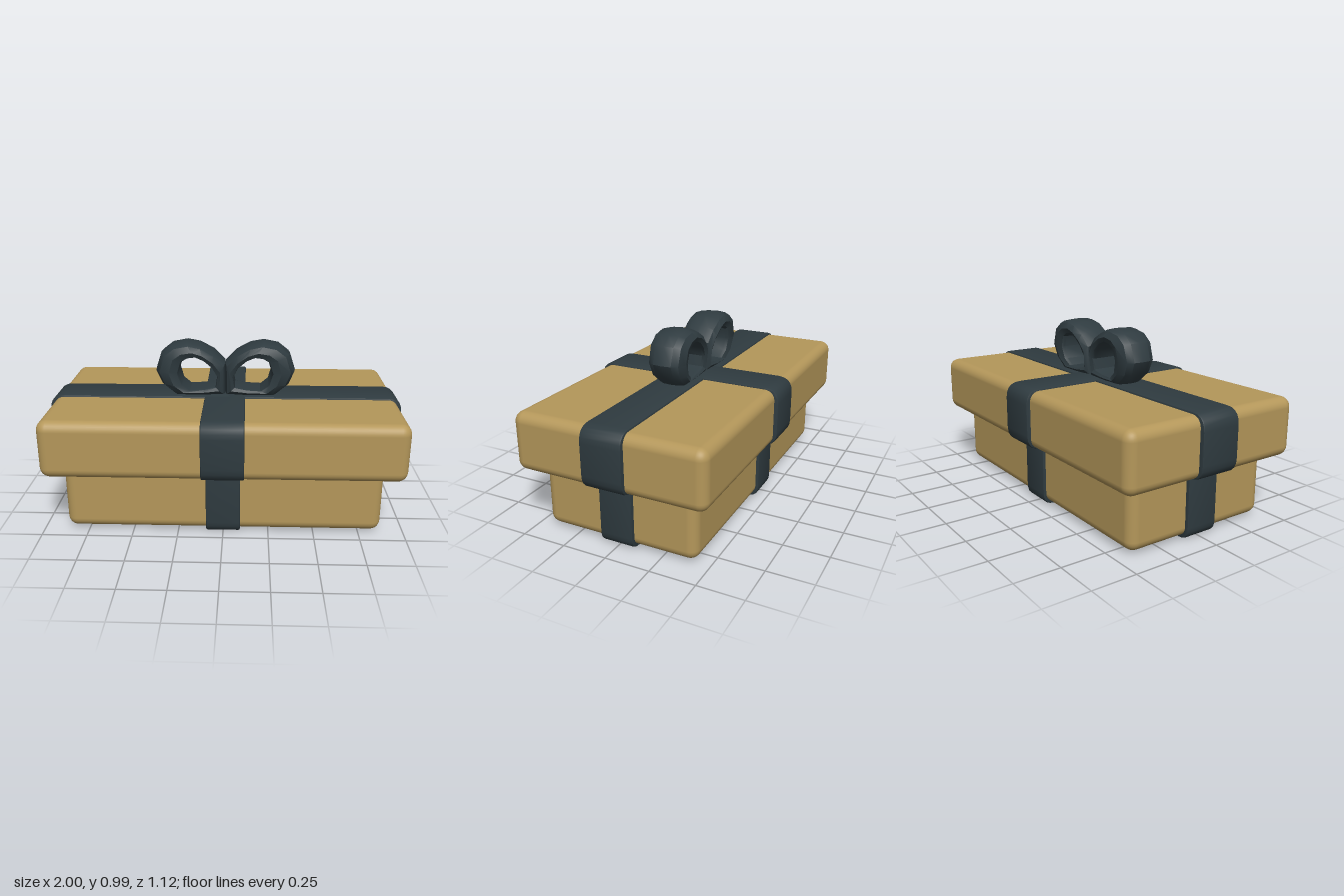
import * as THREE from 'three';
import { RoundedBoxGeometry } from 'three/addons/geometries/RoundedBoxGeometry.js';
import { toCreasedNormals } from 'three/addons/utils/BufferGeometryUtils.js';

const paper = new THREE.MeshStandardMaterial({ color: 0xb4975a });
const satin = new THREE.MeshStandardMaterial({ color: 0x2f3b40 });

function add(parent, name, geometry, material) {
  const mesh = new THREE.Mesh(geometry, material);
  mesh.name = name;
  parent.add(mesh);
  return mesh;
}

// Rounded carton between two heights
function carton(parent, name, w, y0, y1, d) {
  const geo = new RoundedBoxGeometry(w, y1 - y0, d, 4, 0.055);
  geo.translate(0, (y0 + y1) / 2, 0);
  add(parent, name, geo, paper);
}

// Ribbon band wrapping the carton: rounded rectangle extruded across its width
function band(parent, name, length, y0, y1, width, r, alongZ) {
  const b = 0.008, x = length / 2 - b, lo = y0 + b, hi = y1 - b;
  const s = new THREE.Shape();
  s.moveTo(-x + r, lo);
  s.lineTo(x - r, lo).quadraticCurveTo(x, lo, x, lo + r);
  s.lineTo(x, hi - r).quadraticCurveTo(x, hi, x - r, hi);
  s.lineTo(-x + r, hi).quadraticCurveTo(-x, hi, -x, hi - r);
  s.lineTo(-x, lo + r).quadraticCurveTo(-x, lo, -x + r, lo);
  const geo = new THREE.ExtrudeGeometry(s, {
    depth: width - 2 * b, bevelEnabled: true, bevelThickness: b, bevelSize: b,
    bevelSegments: 2, curveSegments: 5,
  });
  geo.translate(0, 0, -width / 2 + b);
  if (alongZ) geo.rotateY(Math.PI / 2);
  add(parent, name, toCreasedNormals(geo, 0.6), satin);
}

// Bow loop: a padded section carried round a closed ring of stations
function bowLoopGeometry() {
  // outer x, outer y, inner x, inner y, half width
  const stations = [
    [0, 0.68, 0.055, 0.73, 0.09], [0.15, 0.675, 0.12, 0.715, 0.09],
    [0.29, 0.68, 0.2, 0.71, 0.092], [0.365, 0.745, 0.245, 0.745, 0.1],
    [0.397, 0.82, 0.265, 0.815, 0.107], [0.365, 0.92, 0.245, 0.88, 0.11],
    [0.305, 0.968, 0.21, 0.9, 0.11], [0.22, 0.985, 0.165, 0.905, 0.11],
    [0.145, 0.972, 0.12, 0.885, 0.11], [0.065, 0.93, 0.075, 0.845, 0.107],
    [0, 0.865, 0.045, 0.79, 0.1],
  ];
  // position from inner to outer, share of half width
  const section = [
    [1, 0], [0.95, 0.5], [0.8, 0.82], [0.4, 1], [0.05, 0.88], [0, 0.7],
    [0, -0.7], [0.05, -0.88], [0.4, -1], [0.8, -0.82], [0.95, -0.5],
  ];
  const pos = [], idx = [], n = stations.length, m = section.length;
  stations.forEach(([ox, oy, ix, iy, w], i) => section.forEach(([t, s], j) => {
    pos.push(ix + (ox - ix) * t, iy + (oy - iy) * t, s * w);
    const i2 = (i + 1) % n, j2 = (j + 1) % m;
    const a = i * m + j, b = i2 * m + j, c = i2 * m + j2, d = i * m + j2;
    idx.push(a, b, c, a, c, d);
  }));
  const geo = new THREE.BufferGeometry();
  geo.setAttribute('position', new THREE.Float32BufferAttribute(pos, 3));
  geo.setIndex(idx);
  return toCreasedNormals(geo, 0.65);
}

export function createModel() {
  const gift = new THREE.Group();
  gift.name = 'giftBox';

  // Base and lid
  carton(gift, 'base', 1.74, 0.015, 0.42, 0.876);
  carton(gift, 'lid', 1.952, 0.355, 0.675, 1.074);

  // Crossed ribbons on each
  band(gift, 'baseRibbonLong', 1.78, 0, 0.42, 0.188, 0.06, false);
  band(gift, 'baseRibbonShort', 0.91, 0, 0.42, 0.188, 0.06, true);
  band(gift, 'lidRibbonLong', 2, 0.35, 0.685, 0.23, 0.075, false);
  band(gift, 'lidRibbonShort', 1.12, 0.35, 0.685, 0.23, 0.075, true);

  // Two-loop bow
  const bow = new THREE.Group();
  bow.name = 'bow';
  gift.add(bow);
  const loop = bowLoopGeometry();
  add(bow, 'leftBowLoop', loop, satin);
  add(bow, 'rightBowLoop', loop, satin).rotation.y = Math.PI;

  return gift;
}
